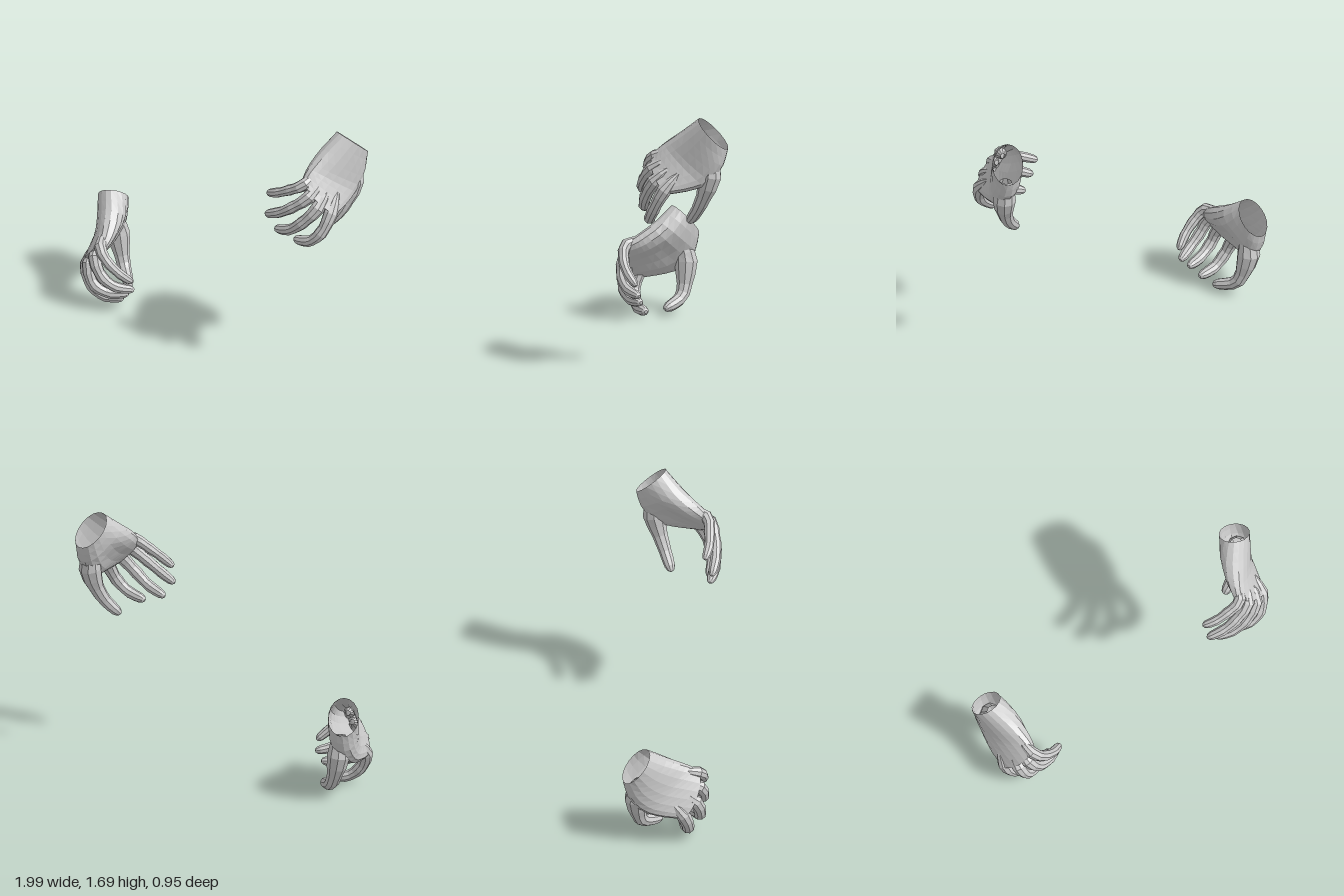
import * as THREE from 'three';

const material = new THREE.MeshStandardMaterial({
  color: 0xcccccc, flatShading: true, side: THREE.DoubleSide,
});
const curve = (points) =>
  new THREE.CatmullRomCurve3(points.map((p) => new THREE.Vector3(...p)));

// Skin a list of rings (arrays of Vector3): open at the start, capped at the end.
function loft(rings, name) {
  const sides = rings[0].length;
  const positions = [];
  const index = [];
  rings.forEach((ring) => ring.forEach((p) => positions.push(p.x, p.y, p.z)));
  for (let i = 0; i < rings.length - 1; i++) {
    for (let j = 0; j < sides; j++) {
      const a = i * sides + j;
      const b = i * sides + ((j + 1) % sides);
      index.push(a, b, a + sides, b, b + sides, a + sides);
    }
  }
  // end cap
  const last = rings[rings.length - 1];
  const mid = last.reduce((s, p) => s.add(p), new THREE.Vector3()).divideScalar(sides);
  const start = (rings.length - 1) * sides;
  positions.push(mid.x, mid.y, mid.z);
  for (let j = 0; j < sides; j++) {
    index.push(start + j, start + ((j + 1) % sides), rings.length * sides);
  }
  const geometry = new THREE.BufferGeometry();
  geometry.setAttribute('position', new THREE.Float32BufferAttribute(positions, 3));
  geometry.setIndex(index);
  geometry.computeVertexNormals();
  const mesh = new THREE.Mesh(geometry, material);
  mesh.name = name;
  return mesh;
}

// Round limb along a path; profile holds [position along path, radius].
function limb(points, profile, name) {
  const path = curve(points);
  const steps = 100;
  const frames = path.computeFrenetFrames(steps, false);
  const sides = 9;
  const rings = profile.map(([t, r]) => {
    const center = path.getPointAt(t);
    const k = Math.round(t * steps);
    return Array.from({ length: sides }, (_, j) => {
      const a = (j / sides) * Math.PI * 2;
      return center.clone()
        .addScaledVector(frames.normals[k], r * Math.cos(a))
        .addScaledVector(frames.binormals[k], r * Math.sin(a));
    });
  });
  return loft(rings, name);
}

// Palm and open wrist, spanned between the little-finger edge and the thumb edge.
function palm(outer, inner, side) {
  const outerEdge = curve(outer);
  const innerEdge = curve(inner);
  // x: back thickness, y: palm thickness, z: cupping of the palm
  const depths = curve([
    [0.1, 0.1, 0], [0.098, 0.122, 0.3], [0.075, 0.1, 0.6], [0.06, 0.075, 0.5], [0.042, 0.045, 0.2],
  ]);
  const sides = 18;
  const rings = [];
  for (let i = 0; i <= 9; i++) {
    const t = i / 9;
    const P = outerEdge.getPoint(t);
    const T = innerEdge.getPoint(t);
    const center = P.clone().add(T).multiplyScalar(0.5);
    const half = T.clone().sub(P).multiplyScalar(0.5);
    const along = outerEdge.getTangent(t).add(innerEdge.getTangent(t)).normalize();
    const normal = along.clone().cross(half).normalize();
    const depth = depths.getPoint(t);
    rings.push(Array.from({ length: sides }, (_, j) => {
      const a = (j / sides) * Math.PI * 2;
      const c = Math.cos(a);
      const s = Math.sin(a);
      // the section turns boxier, and the row of knuckles arches forward
      const lift = Math.sign(s) * Math.abs(s) ** (1 - 0.35 * t);
      const thick = s * side > 0 ? depth.x : depth.y * (1 - depth.z * (1 - Math.abs(c)));
      return center.clone()
        .addScaledVector(half, c)
        .addScaledVector(normal, lift * thick)
        .addScaledVector(along, 0.035 * t * t * (1 - c * c));
    }));
  }
  return loft(rings, 'palm');
}

function hand({ name, side, outer, inner, fingers, thumb }) {
  const group = new THREE.Group();
  group.name = name;
  group.add(palm(outer, inner, side));
  const wrist = outer[0].map((v, i) => (v + inner[0][i]) / 2);
  const widths = { littleFinger: 0.036, ringFinger: 0.039, middleFinger: 0.041, indexFinger: 0.042 };
  // fingers, each rooted inside the palm with swollen joints
  for (const [label, points] of Object.entries(fingers)) {
    const w = widths[label];
    const root = points[0].map((v, i) => v + (wrist[i] - v) * 0.3);
    const profile = [
      [0, 0.4], [0.15, 0.85], [0.27, 1.15], [0.38, 1.06], [0.48, 0.95], [0.56, 1.02], [0.63, 0.93],
      [0.71, 0.87], [0.78, 0.92], [0.87, 0.85], [0.94, 0.76], [0.98, 0.55], [1, 0.25],
    ].map(([t, r]) => [t, r * w]);
    group.add(limb([root, ...points], profile, label));
  }
  // thumb with its fleshy base
  group.add(limb(thumb, [
    [0, 0.04], [0.12, 0.065], [0.25, 0.076], [0.4, 0.066], [0.53, 0.051], [0.64, 0.047],
    [0.74, 0.042], [0.84, 0.04], [0.93, 0.035], [0.98, 0.024], [1, 0.01],
  ], 'thumb'));
  return group;
}

export function createModel() {
  const model = new THREE.Group();
  model.name = 'pairOfHands';

  model.add(hand({
    name: 'leftHand',
    side: 1,
    outer: [[0.83, 1.7, 0.13], [0.74, 1.6, 0.22], [0.68, 1.52, 0.31], [0.66, 1.48, 0.35], [0.645, 1.44, 0.38]],
    inner: [[0.96, 1.51, -0.02], [0.96, 1.39, 0.02], [0.935, 1.28, 0.11], [0.91, 1.24, 0.23], [0.87, 1.22, 0.37]],
    fingers: {
      littleFinger: [[0.66, 1.425, 0.385], [0.56, 1.365, 0.38], [0.48, 1.32, 0.36], [0.4, 1.28, 0.32]],
      ringFinger: [[0.71, 1.36, 0.41], [0.6, 1.27, 0.425], [0.51, 1.205, 0.41], [0.4, 1.145, 0.365]],
      middleFinger: [[0.77, 1.29, 0.415], [0.67, 1.17, 0.44], [0.58, 1.09, 0.42], [0.465, 1.045, 0.365]],
      indexFinger: [[0.845, 1.235, 0.38], [0.795, 1.11, 0.43], [0.72, 1.035, 0.43], [0.6, 1.0, 0.385]],
    },
    thumb: [[0.89, 1.46, 0.08], [0.905, 1.36, 0.075], [0.885, 1.23, 0.1], [0.82, 1.09, 0.135], [0.72, 0.985, 0.16]],
  }));

  model.add(hand({
    name: 'rightHand',
    side: -1,
    outer: [[-0.85, 0.7, -0.29], [-0.81, 0.605, -0.16], [-0.8, 0.54, -0.05], [-0.8, 0.51, 0], [-0.81, 0.48, 0.05]],
    inner: [[-0.87, 0.5, -0.465], [-0.88, 0.37, -0.43], [-0.91, 0.27, -0.34], [-0.945, 0.235, -0.22], [-0.965, 0.215, -0.08]],
    fingers: {
      littleFinger: [[-0.82, 0.465, 0.05], [-0.76, 0.39, 0.085], [-0.68, 0.315, 0.085], [-0.6, 0.245, 0.055]],
      ringFinger: [[-0.86, 0.38, 0.045], [-0.8, 0.265, 0.08], [-0.71, 0.2, 0.075], [-0.595, 0.175, 0.035]],
      middleFinger: [[-0.91, 0.3, 0.01], [-0.87, 0.18, 0.045], [-0.77, 0.12, 0.035], [-0.64, 0.12, 0.005]],
      indexFinger: [[-0.95, 0.235, -0.08], [-0.92, 0.13, -0.045], [-0.83, 0.05, -0.035], [-0.69, 0.044, -0.045]],
    },
    thumb: [[-0.83, 0.46, -0.34], [-0.83, 0.36, -0.37], [-0.81, 0.24, -0.36], [-0.77, 0.11, -0.32], [-0.69, 0.05, -0.175]],
  }));

  return model;
}
